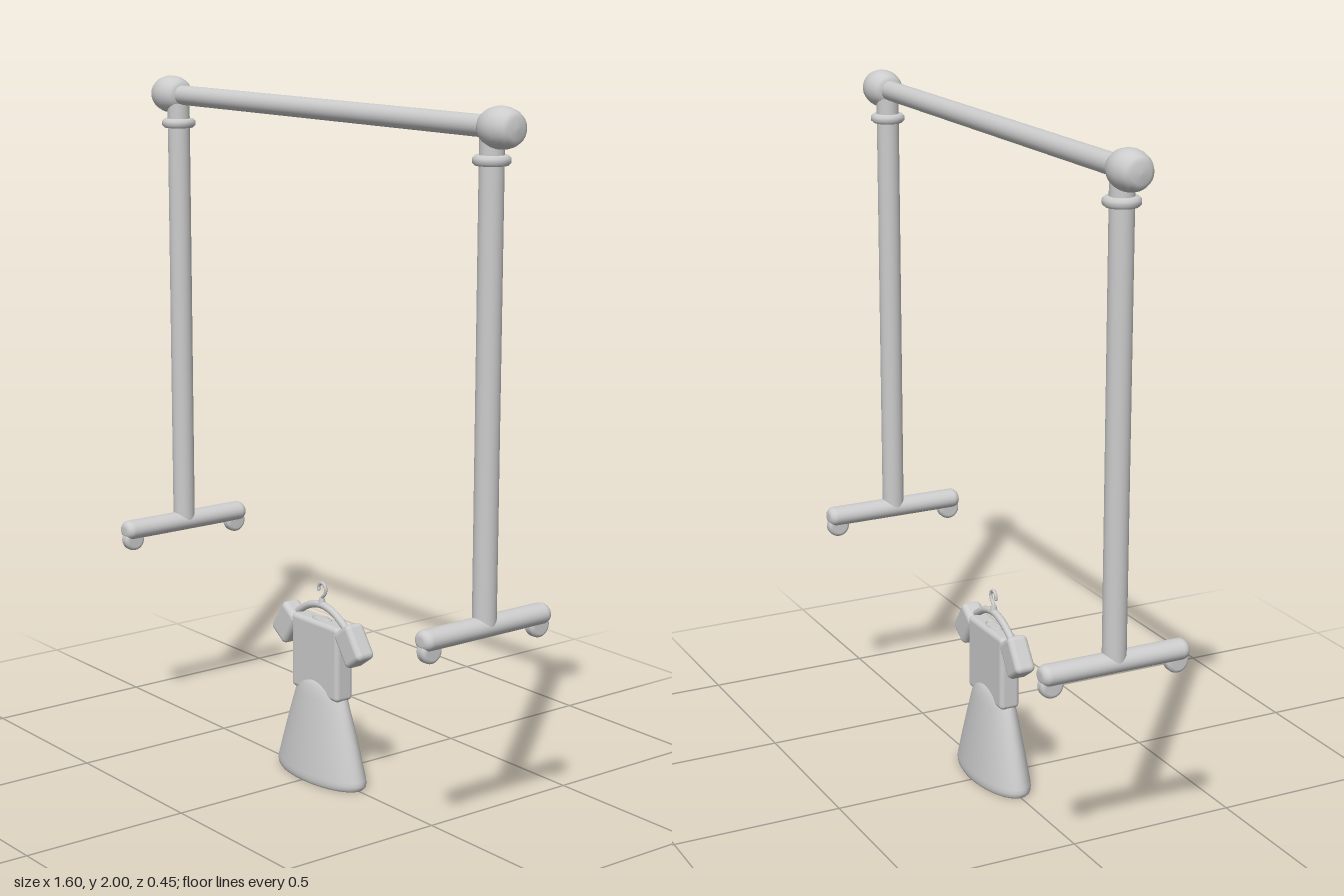
import * as THREE from 'three';
import { RoundedBoxGeometry } from 'three/addons/geometries/RoundedBoxGeometry.js';

const V3 = (x, y, z = 0) => new THREE.Vector3(x, y, z);

export function createModel() {
  const grey = new THREE.MeshStandardMaterial({ color: 0xcccccc });
  grey.name = 'light grey';
  const root = new THREE.Group();
  root.name = 'clothesRack';

  const add = (parent, name, geometry, x = 0, y = 0, z = 0) => {
    const mesh = new THREE.Mesh(geometry, grey);
    mesh.name = name;
    mesh.position.set(x, y, z);
    parent.add(mesh);
    return mesh;
  };
  const lathe = (pts, sides = 40) =>
    new THREE.LatheGeometry(pts.map(([r, y]) => new THREE.Vector2(r, y)), sides);
  // bar with softly rounded ends, along y
  const softBar = (r, length, e) => {
    const h = length / 2, pts = [[0, -h]];
    for (let i = 0; i <= 6; i++) {
      const a = (i / 6) * Math.PI / 2;
      pts.push([r - e + e * Math.sin(a), -h + e - e * Math.cos(a)]);
    }
    return lathe([...pts, ...pts.map(([x, y]) => [x, -y]).reverse()], 32);
  };

  // top rail
  add(root, 'rail', new THREE.CylinderGeometry(0.029, 0.029, 1.44, 32), 0, 1.945).rotation.z = Math.PI / 2;

  // stands, one on each side
  for (const s of [1, -1]) {
    const stand = new THREE.Group();
    stand.name = s > 0 ? 'leftStand' : 'rightStand';
    stand.position.x = s * 0.705;
    root.add(stand);

    add(stand, 'post', new THREE.CylinderGeometry(0.033, 0.033, 1.29, 32), 0, 1.275);
    add(stand, 'collar', lathe([[0.03, 1.847], [0.043, 1.848], [0.05, 1.855], [0.05, 1.867],
      [0.043, 1.874], [0.03, 1.875]]));

    // barrel shaped end knob
    const knob = lathe([[0, -0.06], [0.028, -0.058], [0.041, -0.05], [0.049, -0.035], [0.054, -0.015],
      [0.055, 0], [0.054, 0.015], [0.049, 0.035], [0.041, 0.05], [0.028, 0.058], [0, 0.06]]);
    add(stand, 'knob', knob, s * 0.035, 1.945).rotation.z = Math.PI / 2;

    // foot bar and casters
    const foot = add(stand, 'foot', softBar(0.034, 0.444, 0.022), 0, 0.629);
    foot.rotation.x = Math.PI / 2;
    foot.scale.z = 0.86;
    for (const z of [0.19, -0.19]) {
      add(stand, 'caster', softBar(0.034, 0.036, 0.012), 0, 0.599, z).rotation.z = Math.PI / 2;
    }
  }

  // dress
  const dress = new THREE.Group();
  dress.name = 'dress';
  root.add(dress);

  const skirt = add(dress, 'skirt', lathe([[0, 0.004], [0.165, 0.004], [0.177, 0.002], [0.184, 0.008],
    [0.186, 0.018], [0.184, 0.03], [0.162, 0.1], [0.135, 0.18], [0.11, 0.25], [0.094, 0.28],
    [0.07, 0.302], [0.03, 0.306], [0, 0.306]], 56));
  skirt.scale.z = 0.42;

  add(dress, 'bodice', new RoundedBoxGeometry(0.218, 0.225, 0.062, 4, 0.014), 0, 0.367);
  const neck = add(dress, 'neckline', new THREE.TorusGeometry(0.036, 0.004, 10, 36), 0, 0.479);
  neck.rotation.x = Math.PI / 2;
  neck.scale.y = 0.5;

  for (const s of [1, -1]) {
    const sleeve = add(dress, 'sleeve', new RoundedBoxGeometry(0.082, 0.112, 0.062, 4, 0.016), s * 0.15, 0.436);
    sleeve.rotation.z = s * 0.61;
  }

  // hanger with hook
  const hanger = new THREE.Group();
  hanger.name = 'hanger';
  root.add(hanger);
  const arms = new THREE.CatmullRomCurve3([V3(-0.14, 0.455), V3(-0.1, 0.486), V3(-0.05, 0.512),
    V3(0, 0.521), V3(0.05, 0.512), V3(0.1, 0.486), V3(0.14, 0.455)]);
  add(hanger, 'hangerArms', new THREE.TubeGeometry(arms, 40, 0.011, 12));
  const hookPath = new THREE.CatmullRomCurve3([V3(0, 0.52), V3(0, 0.542), V3(0.014, 0.556), V3(0.018, 0.572),
    V3(0.01, 0.585), V3(-0.004, 0.586), V3(-0.014, 0.576), V3(-0.014, 0.566)]);
  add(hanger, 'hook', new THREE.TubeGeometry(hookPath, 48, 0.005, 10));
  add(hanger, 'hookTip', new THREE.SphereGeometry(0.0055, 12, 8), -0.014, 0.566);
  add(hanger, 'hookBase', new THREE.CylinderGeometry(0.008, 0.011, 0.016, 16), 0, 0.534);

  return root;
}
